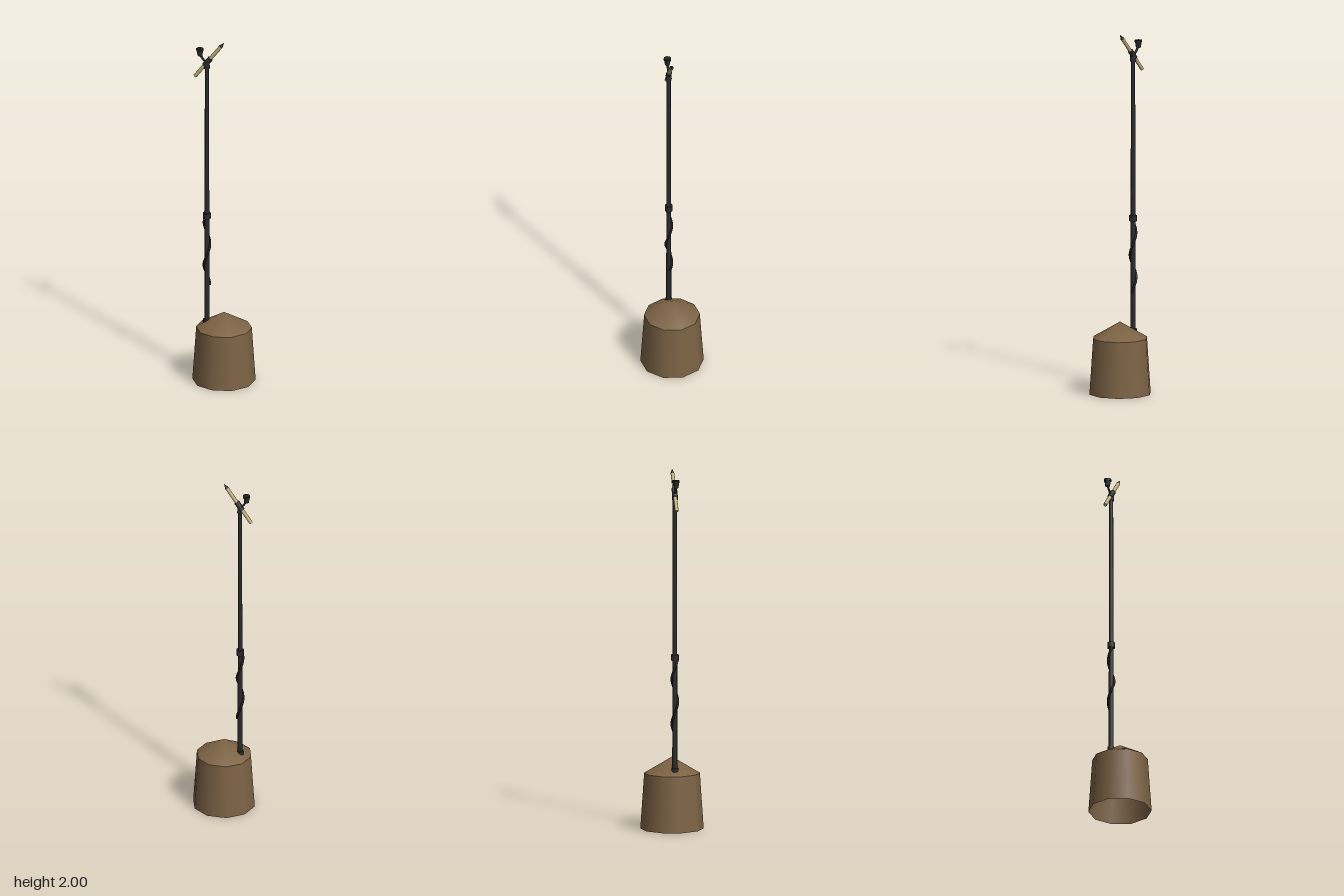
import * as THREE from 'three';
import { mergeVertices } from 'three/addons/utils/BufferGeometryUtils.js';

export function createModel() {
  const model = new THREE.Group();
  const material = (name, color) => {
    const m = new THREE.MeshStandardMaterial({ color });
    m.name = name;
    return m;
  };
  const brown = material('brown hide', 0x7d6345);
  brown.side = THREE.DoubleSide;
  const dark = material('dark iron', 0x2b2b2d);
  const black = material('black cord', 0x1e1e20);
  const tan = material('pale wood', 0xc0ae78);

  const add = (parent, name, geometry, mat, x = 0, y = 0, z = 0) => {
    const mesh = new THREE.Mesh(geometry, mat);
    mesh.name = name;
    mesh.position.set(x, y, z);
    parent.add(mesh);
    return mesh;
  };
  const cylinder = (top, bottom, height, sides = 8, open = false) =>
    new THREE.CylinderGeometry(top, bottom, height, sides, 1, open);

  // Ten-sided open base with a softly shaded roof
  const turn = 0.475;
  add(model, 'baseWall', cylinder(0.153, 0.174, 0.31, 10, true).rotateY(turn), brown, 0, 0.155);
  let roof = new THREE.ConeGeometry(0.154, 0.09, 10, 1, true).rotateY(turn);
  roof.deleteAttribute('uv');
  roof.deleteAttribute('normal');
  roof = mergeVertices(roof);
  roof.computeVertexNormals();
  add(model, 'baseRoof', roof, brown, 0, 0.355);

  // Pole with foot and collar
  const px = -0.096;
  add(model, 'poleFoot', cylinder(0.019, 0.021, 0.05), dark, px - 0.002, 0.325);
  add(model, 'lowerPole', cylinder(0.0135, 0.0145, 0.66), dark, px, 0.64);
  add(model, 'upperPole', cylinder(0.0115, 0.0135, 0.9), dark, px, 1.42);
  add(model, 'poleCollar', cylinder(0.022, 0.022, 0.032), dark, px, 0.966);

  // Cord winding up the lower pole
  const coil = [];
  for (let i = 0; i <= 36; i++) {
    const y = 0.55 + (0.4 * i) / 36;
    const a = ((y - 0.54) / 0.25) * Math.PI * 2;
    coil.push(new THREE.Vector3(px + 0.0175 * Math.cos(a), y, -0.0175 * Math.sin(a)));
  }
  const coilCurve = new THREE.CatmullRomCurve3(coil);
  add(model, 'windingCord', new THREE.TubeGeometry(coilCurve, 60, 0.0065, 6), black);

  // Slanted rod: local y runs along it, the origin sits on the pole head
  const rod = new THREE.Group();
  rod.name = 'slantedRod';
  rod.position.set(px, 1.876, 0);
  rod.rotation.z = -Math.atan2(0.165, 0.213);
  model.add(rod);
  add(rod, 'rodShaft', cylinder(0.0105, 0.0105, 0.237), tan, 0, 0.0095);
  add(rod, 'rodTip', new THREE.ConeGeometry(0.0115, 0.03, 8), dark, 0, 0.142);
  add(rod, 'rodClamp', cylinder(0.0155, 0.0155, 0.055), dark, 0, 0.006);
  add(model, 'poleHead', cylinder(0.015, 0.017, 0.04), dark, px, 1.862);

  // Bent arm holding a small cup
  const arm = new THREE.CatmullRomCurve3([
    new THREE.Vector3(px, 1.87, 0),
    new THREE.Vector3(-0.118, 1.895, 0),
    new THREE.Vector3(-0.135, 1.92, 0),
  ]);
  add(model, 'cupArm', new THREE.TubeGeometry(arm, 8, 0.0065, 6), dark);
  add(model, 'cupBody', cylinder(0.018, 0.0135, 0.032), dark, -0.135, 1.93);
  add(model, 'cupRim', cylinder(0.021, 0.021, 0.012), black, -0.135, 1.95);

  return model;
}
